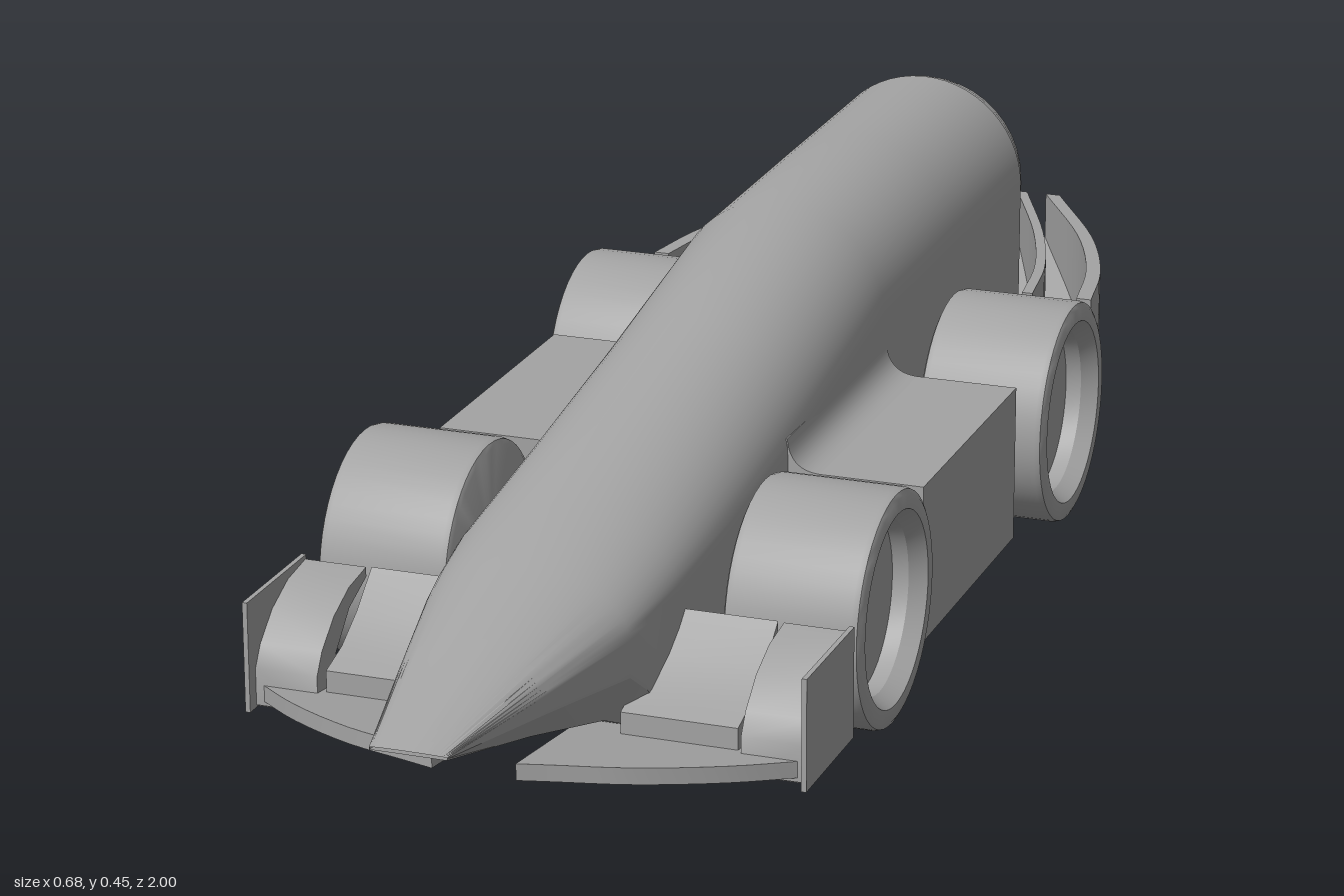
import * as THREE from 'three';
import { toCreasedNormals } from 'three/addons/utils/BufferGeometryUtils.js';

const grey = new THREE.MeshStandardMaterial({ color: 0xa3a3a3, side: THREE.DoubleSide });
grey.name = 'grey';

function mesh(name, geometry, crease = 0.6) {
  const m = new THREE.Mesh(toCreasedNormals(geometry, crease), grey);
  m.name = name;
  return m;
}
const shapeOf = (pts) => new THREE.Shape(pts.map(([x, y]) => new THREE.Vector2(x, y)));

// side profile of [z, y] points, extruded from x0 to x1
function extrudeX(pts, x0, x1) {
  const g = new THREE.ExtrudeGeometry(shapeOf(pts.map(([z, y]) => [-z, y])), { depth: x1 - x0, bevelEnabled: false });
  return g.rotateY(Math.PI / 2).translate(x0, 0, 0);
}
// plan outline of [x, z] points, extruded from y0 to y1
function extrudeY(pts, y0, y1) {
  const g = new THREE.ExtrudeGeometry(shapeOf(pts.map(([x, z]) => [x, -z])), { depth: y1 - y0, bevelEnabled: false });
  return g.rotateX(-Math.PI / 2).translate(0, y0, 0);
}
function smooth(pts, n = 16) {
  return new THREE.CatmullRomCurve3(pts.map(([x, z]) => new THREE.Vector3(x, 0, z))).getPoints(n).map((p) => [p.x, p.z]);
}
// raise each vertex by a rule of its position
function lift(g, rule) {
  const p = g.attributes.position;
  for (let i = 0; i < p.count; i++) p.setY(i, p.getY(i) + rule(p.getX(i), p.getZ(i)));
  return g;
}

// body section: underside channel, chamfered flank and rounded top
function section([, wBottom, w, yBottom, yFlank, yShoulder, yTop]) {
  const slot = Math.max(0.085, yBottom);
  const half = [[0.03, slot], [0.03, yBottom], [wBottom, yBottom], [w, yFlank]];
  const n = 14;
  for (let i = 0; i <= n; i++) {
    const t = (i / n) * Math.PI / 2;
    half.push([w * Math.cos(t), yShoulder + (yTop - yShoulder) * Math.sin(t)]);
  }
  const other = half.slice(0, -1).reverse().map(([x, y]) => [-x, y]);
  return [...half, ...other];
}

function loft(sections) {
  const pos = [], index = [];
  const n = section(sections[0]).length;
  sections.forEach((s, i) => {
    section(s).forEach(([x, y], j) => {
      pos.push(x, y, s[0]);
      if (i === sections.length - 1) return;
      const a = i * n + j, b = i * n + (j + 1) % n;
      index.push(a, a + n, b, b, a + n, b + n);
    });
  });
  const g = new THREE.BufferGeometry();
  g.setAttribute('position', new THREE.Float32BufferAttribute(pos, 3));
  g.setIndex(index);
  return g;
}

function makeBody() {
  const body = new THREE.Group();
  body.name = 'body';
  // z, bottom half width, half width, bottom, flank, shoulder, top
  const sections = [
    [1.0, 0.045, 0.045, 0.176, 0.178, 0.179, 0.18],
    [0.82, 0.068, 0.088, 0.135, 0.165, 0.187, 0.226],
    [0.66, 0.092, 0.124, 0.094, 0.15, 0.195, 0.266],
    [0.62, 0.105, 0.13, 0.075, 0.12, 0.2, 0.276],
    [0.54, 0.138, 0.138, 0.03, 0.06, 0.21, 0.294],
    [0.35, 0.14, 0.14, 0.03, 0.05, 0.225, 0.333],
    [0.1, 0.14, 0.14, 0.03, 0.05, 0.255, 0.383],
    [-0.2, 0.14, 0.14, 0.03, 0.05, 0.305, 0.444],
    [-0.5, 0.14, 0.14, 0.03, 0.05, 0.308, 0.448],
    [-0.79, 0.14, 0.14, 0.03, 0.05, 0.31, 0.45],
  ];
  body.add(mesh('fuselage', loft(sections), 0.5));

  // rear wall with the exhaust opening
  const wall = shapeOf(section(sections[sections.length - 1]));
  const hole = new THREE.Path();
  hole.absarc(0, 0.31, 0.1, 0, Math.PI * 2, true);
  wall.holes.push(hole);
  const wallGeometry = new THREE.ShapeGeometry(wall, 32).rotateY(Math.PI).translate(0, 0, -0.79);
  body.add(mesh('rearWall', wallGeometry));

  // rounded exhaust ring and inner pipe, turned around the long axis
  const profile = [[0.139, 0.785], [0.138, 0.80], [0.13, 0.825], [0.117, 0.845], [0.105, 0.855], [0.095, 0.855], [0.09, 0.6], [0, 0.6]];
  const ring = new THREE.LatheGeometry(profile.map(([r, z]) => new THREE.Vector2(r, z)), 40);
  body.add(mesh('exhaust', ring.rotateX(-Math.PI / 2).translate(0, 0.31, 0), 0.7));
  return body;
}

function makeWheel(z) {
  const wheel = new THREE.Group();
  wheel.name = z > 0 ? 'frontWheel' : 'rearWheel';
  // radius and distance along the axle: inner face, tread, rim and recess
  const profile = [[0, 0.17], [0.135, 0.17], [0.141, 0.173], [0.143, 0.18], [0.143, 0.325], [0.141, 0.332],
    [0.135, 0.335], [0.118, 0.335], [0.105, 0.315], [0.105, 0.295], [0, 0.295]];
  const tyre = new THREE.LatheGeometry(profile.map(([r, x]) => new THREE.Vector2(r, x)), 48);
  wheel.add(mesh('tyre', tyre.rotateZ(-Math.PI / 2), 0.5));
  const axle = new THREE.CylinderGeometry(0.026, 0.026, 0.1, 20).rotateZ(Math.PI / 2);
  wheel.add(mesh('axle', axle.translate(0.15, 0, 0)));
  wheel.position.set(0, 0.143, z);
  return wheel;
}

function makeSidePod() {
  const pod = new THREE.Group();
  pod.name = 'sidePod';
  pod.add(mesh('podBox', new THREE.BoxGeometry(0.19, 0.2, 0.38).translate(0.215, 0.13, -0.02)));
  // concave blend between pod top and body
  const s = new THREE.Shape();
  s.moveTo(0.125, 0.22);
  s.lineTo(0.125, 0.27);
  s.lineTo(0.139, 0.27);
  s.quadraticCurveTo(0.142, 0.231, 0.18, 0.23);
  s.lineTo(0.18, 0.22);
  const g = new THREE.ExtrudeGeometry(s, { depth: 0.38, bevelEnabled: false, curveSegments: 8 });
  pod.add(mesh('podBlend', g.translate(0, 0, -0.21)));
  return pod;
}

function makeFrontWing() {
  const wing = new THREE.Group();
  wing.name = 'frontWing';
  // swept main plane, sloping down to the rear
  const lead = smooth([[0.05, 0.82], [0.09, 0.805], [0.17, 0.775], [0.26, 0.72], [0.335, 0.655]]);
  const plane = extrudeY([...lead, [0.335, 0.6], [0.05, 0.6]], 0.075, 0.095);
  wing.add(mesh('mainPlane', lift(plane, (x, z) => (z - 0.78) * 0.13)));

  // inner flap, thin and curving upwards
  const inner = [[0.655, 0.075], [0.655, 0.105], [0.61, 0.118], [0.565, 0.145], [0.52, 0.183],
    [0.52, 0.17], [0.56, 0.125], [0.6, 0.085], [0.6, 0.05]];
  wing.add(mesh('innerFlap', extrudeX(inner, 0.11, 0.25)));
  // outer flap with a rounded crown
  const outer = [[0.665, 0.055], [0.665, 0.1], [0.65, 0.125], [0.615, 0.155], [0.57, 0.175], [0.52, 0.182],
    [0.52, 0.17], [0.57, 0.15], [0.61, 0.11], [0.62, 0.055]];
  wing.add(mesh('outerFlap', extrudeX(outer, 0.257, 0.336)));
  wing.add(mesh('underPlate', new THREE.BoxGeometry(0.23, 0.012, 0.14).translate(0.22, 0.058, 0.59)));
  wing.add(mesh('endPlate', new THREE.BoxGeometry(0.006, 0.135, 0.165).translate(0.337, 0.1195, 0.6)));
  return wing;
}

function makeDiffuser() {
  const diffuser = new THREE.Group();
  diffuser.name = 'diffuser';
  const outer = smooth([[0.305, -0.565], [0.285, -0.68], [0.235, -0.82], [0.135, -1]]);
  const inner = smooth([[0.225, -0.565], [0.208, -0.68], [0.165, -0.82], [0.088, -1]]);
  // curved upright vanes
  [['outerVane', outer, 0.02], ['innerVane', inner, 0.014]].forEach(([name, line, thick]) => {
    const back = line.slice().reverse().map(([x, z]) => [x - thick, z]);
    diffuser.add(mesh(name, extrudeY([...line, ...back], 0.03, 0.235)));
  });
  // ramped floor
  const floor = extrudeY([[0.05, -0.565], ...outer, [0.05, -1]], 0.032, 0.042);
  diffuser.add(mesh('ramp', lift(floor, (x, z) => (-0.565 - z) * 0.3)));
  return diffuser;
}

export function createModel() {
  const model = new THREE.Group();
  model.name = 'jetCar';
  model.add(makeBody());
  for (const side of [1, -1]) {
    const half = new THREE.Group();
    half.name = side > 0 ? 'leftSide' : 'rightSide';
    half.add(makeWheel(0.345), makeWheel(-0.385), makeSidePod(), makeFrontWing(), makeDiffuser());
    half.scale.x = side;
    model.add(half);
  }
  return model;
}
